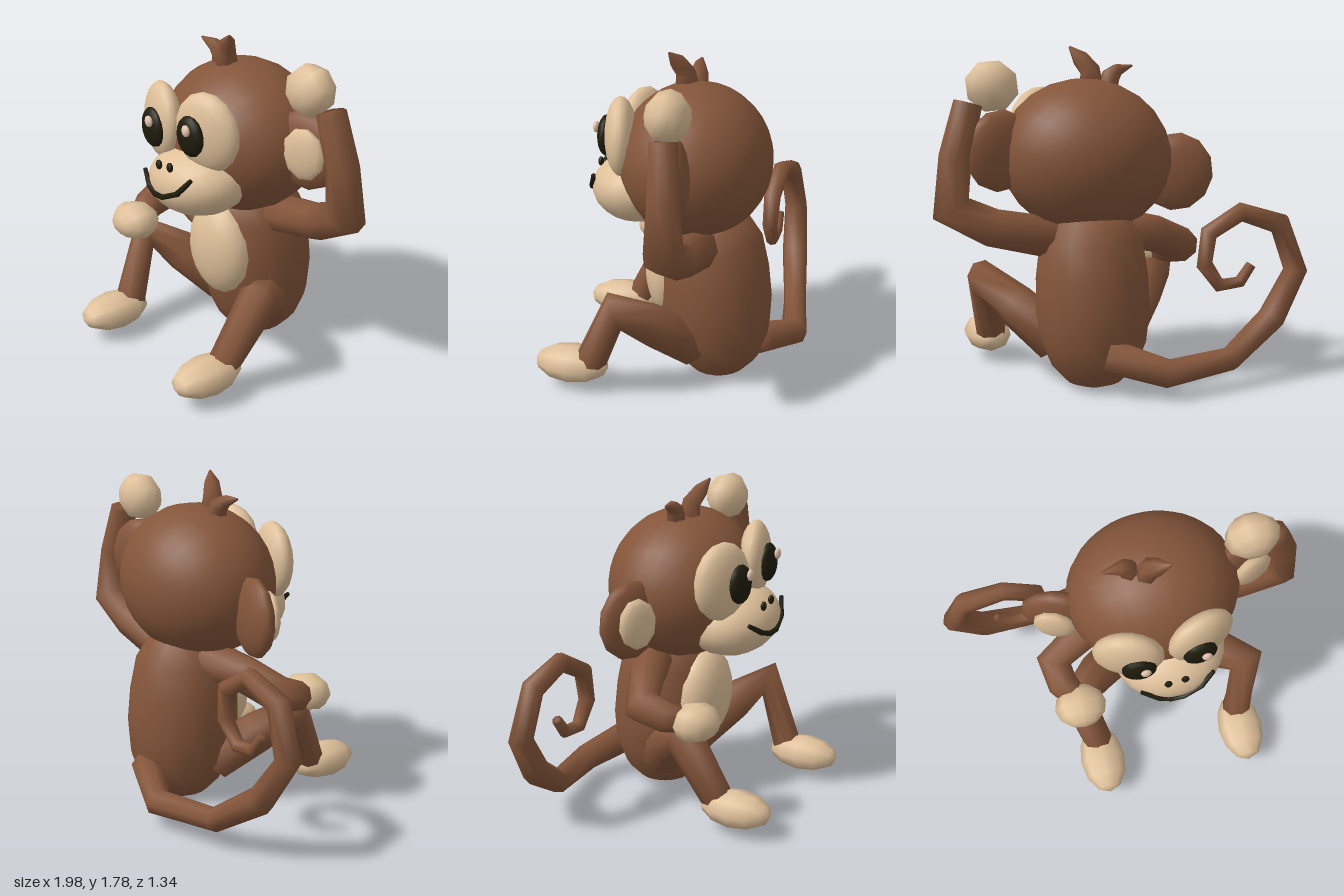
import * as THREE from 'three';

const paint = (name, color) => {
  const m = new THREE.MeshStandardMaterial({ color });
  m.name = name;
  return m;
};

// Closed limb of round cross-sections; each stop is [x, y, z, radius]
function limbGeometry(stops, sides) {
  const pts = stops.map(s => new THREE.Vector3(s[0], s[1], s[2]));
  const last = pts.length - 1;
  const pos = [], idx = [];
  const normal = new THREE.Vector3();
  pts.forEach((p, i) => {
    const t = new THREE.Vector3();
    if (i > 0) t.add(p.clone().sub(pts[i - 1]).normalize());
    if (i < last) t.add(pts[i + 1].clone().sub(p).normalize());
    t.normalize();
    if (i === 0) normal.set(0, 0, 1).addScaledVector(t, -t.z);
    if (normal.lengthSq() < 0.01) normal.set(1, 0, 0);
    normal.addScaledVector(t, -normal.dot(t)).normalize();
    const side = t.clone().cross(normal);
    for (let j = 0; j < sides; j++) {
      const a = (j / sides) * Math.PI * 2;
      const v = p.clone()
        .addScaledVector(normal, Math.cos(a) * stops[i][3])
        .addScaledVector(side, Math.sin(a) * stops[i][3]);
      pos.push(v.x, v.y, v.z);
    }
  });
  for (let i = 0; i < last; i++) {
    for (let j = 0; j < sides; j++) {
      const k = (j + 1) % sides;
      const a = i * sides + j, b = i * sides + k, c = a + sides, d = b + sides;
      idx.push(a, b, c, b, d, c);
    }
  }
  // End caps
  const start = pos.length / 3;
  pos.push(...pts[0].toArray(), ...pts[last].toArray());
  for (let j = 0; j < sides; j++) {
    const k = (j + 1) % sides;
    idx.push(start, k, j, start + 1, last * sides + j, last * sides + k);
  }
  const g = new THREE.BufferGeometry();
  g.setAttribute('position', new THREE.Float32BufferAttribute(pos, 3));
  g.setIndex(idx);
  g.computeVertexNormals();
  return g;
}

export function createModel() {
  const model = new THREE.Group();
  model.name = 'monkey';
  const fur = paint('brown fur', 0x84553a);
  const skin = paint('tan skin', 0xdfc09a);
  const dark = paint('dark eye', 0x1f1c0c);
  const glint = paint('eye glint', 0xe8c8b2);

  const add = (name, geometry, material) => {
    const m = new THREE.Mesh(geometry, material);
    m.name = name;
    model.add(m);
    return m;
  };
  const limb = (name, stops, material = fur, sides = 8) =>
    add(name, limbGeometry(stops, sides), material);
  // Ellipsoid with its poles along z
  const blob = (name, at, radii, material, { yaw = 0, roll = 0, pitch = 0, segs = 16 } = {}) => {
    const g = new THREE.SphereGeometry(1, segs, Math.max(6, segs * 0.75)).rotateX(Math.PI / 2);
    const m = add(name, g, material);
    m.position.set(...at);
    m.scale.set(...radii);
    m.rotation.set(pitch, yaw, roll);
    return m;
  };

  // Torso and belly
  limb('body', [
    [0.15, 0.01, -0.23, 0.07], [0.15, 0.04, -0.23, 0.15], [0.15, 0.12, -0.23, 0.225],
    [0.15, 0.25, -0.23, 0.28], [0.15, 0.42, -0.215, 0.305], [0.15, 0.6, -0.2, 0.3],
    [0.15, 0.78, -0.185, 0.275], [0.15, 0.9, -0.175, 0.21], [0.15, 0.97, -0.17, 0.08],
  ], fur, 18);
  blob('belly', [0.145, 0.58, 0.03], [0.215, 0.275, 0.14], skin, { pitch: 0.05 });

  // Head, tilted to one side
  const tilt = 0.14;
  blob('head', [0.15, 1.22, -0.1], [0.46, 0.41, 0.4], fur, { roll: tilt, segs: 24 });
  blob('muzzle', [0.17, 1.05, 0.2], [0.295, 0.19, 0.25], skin, { roll: tilt, segs: 18 });

  // Eyes and ears: [side, eye patch, eye, glint, ear, inner ear]
  const faceSides = [
    ['right', -1, [-0.065, 1.315, 0.255], [-0.03, 1.305, 0.345], [-0.005, 1.355, 0.39],
      [-0.35, 1.12, -0.13], [-0.39, 1.12, -0.06]],
    ['left', 1, [0.31, 1.36, 0.255], [0.285, 1.353, 0.345], [0.307, 1.4, 0.39],
      [0.62, 1.27, -0.13], [0.675, 1.28, -0.06]],
  ];
  for (const [side, s, patch, eye, spark, ear, inner] of faceSides) {
    blob(side + 'EyePatch', patch, [0.185, 0.21, 0.085], skin, { yaw: s * 0.3, roll: s * 0.12 + 0.04 });
    blob(side + 'Eye', eye, [0.09, 0.107, 0.042], dark, { yaw: s * 0.08, roll: 0.1 });
    blob(side + 'EyeGlint', spark, [0.028, 0.032, 0.016], glint, { segs: 8 });
    blob(side + 'Ear', ear, [0.205, 0.215, 0.075], fur, { yaw: s * 0.28, roll: tilt, segs: 12 });
    blob(side + 'InnerEar', inner, [0.115, 0.14, 0.045], skin, { yaw: s * 0.35, roll: tilt, segs: 10 });
  }

  // Nostrils and smile
  blob('rightNostril', [0.11, 1.16, 0.412], [0.021, 0.027, 0.015], dark, { segs: 8 });
  blob('leftNostril', [0.2, 1.173, 0.41], [0.021, 0.027, 0.015], dark, { segs: 8 });
  limb('mouth', [
    [-0.03, 1.085, 0.4, 0.012], [0.055, 1.03, 0.435, 0.016], [0.12, 1.012, 0.448, 0.016],
    [0.19, 1.017, 0.45, 0.016], [0.285, 1.062, 0.432, 0.016], [0.355, 1.15, 0.395, 0.012],
  ], dark, 6);

  // Hair tufts
  limb('largeHairTuft', [
    [0.1, 1.56, -0.04, 0.07], [0.105, 1.67, -0.03, 0.055], [0.15, 1.73, 0, 0.045], [0.2, 1.79, 0.03, 0.006],
  ], fur, 6);
  limb('smallHairTuft', [
    [0.03, 1.55, -0.07, 0.06], [0, 1.64, -0.07, 0.05], [-0.04, 1.67, -0.06, 0.035], [-0.125, 1.69, -0.05, 0.006],
  ], fur, 6);

  // Raised left arm
  limb('leftArm', [
    [0.36, 0.81, -0.18, 0.11], [0.68, 0.88, -0.17, 0.1], [0.89, 0.99, -0.16, 0.105],
    [0.86, 1.25, -0.15, 0.085], [0.785, 1.52, -0.13, 0.075],
  ]);
  blob('leftHand', [0.655, 1.6, -0.11], [0.145, 0.135, 0.112], skin, { segs: 8, roll: 0.3 });

  // Resting right arm
  limb('rightArm', [
    [-0.02, 0.83, -0.18, 0.11], [-0.24, 0.78, -0.1, 0.1], [-0.43, 0.69, -0.01, 0.1],
    [-0.41, 0.65, 0.12, 0.085], [-0.36, 0.63, 0.2, 0.07],
  ]);
  blob('rightHand', [-0.34, 0.625, 0.26], [0.145, 0.105, 0.125], skin, { segs: 8 });

  // Legs, mirrored about the body's centre line
  for (const [side, s] of [['left', 1], ['right', -1]]) {
    const x = d => 0.15 + s * d;
    limb(side + 'Leg', [
      [x(0.18), 0.24, -0.13, 0.125], [x(0.36), 0.41, 0.03, 0.115],
      [x(0.495), 0.53, 0.19, 0.105], [x(0.42), 0.17, 0.36, 0.085],
    ]);
    blob(side + 'Foot', [x(0.42), 0.15, 0.465], [0.13, 0.1, 0.205], skin, { segs: 8 });
  }

  // Curling tail
  limb('tail', [
    [0.15, 0.23, -0.46, 0.09], [-0.13, 0.145, -0.595, 0.075], [-0.51, 0.165, -0.52, 0.065],
    [-0.78, 0.35, -0.455, 0.075], [-0.935, 0.595, -0.42, 0.066], [-0.845, 0.85, -0.4, 0.062],
    [-0.62, 0.925, -0.39, 0.052], [-0.44, 0.82, -0.38, 0.05], [-0.42, 0.65, -0.375, 0.045],
    [-0.51, 0.53, -0.37, 0.038], [-0.63, 0.54, -0.37, 0.034], [-0.695, 0.63, -0.37, 0.028],
  ]);

  return model;
}
